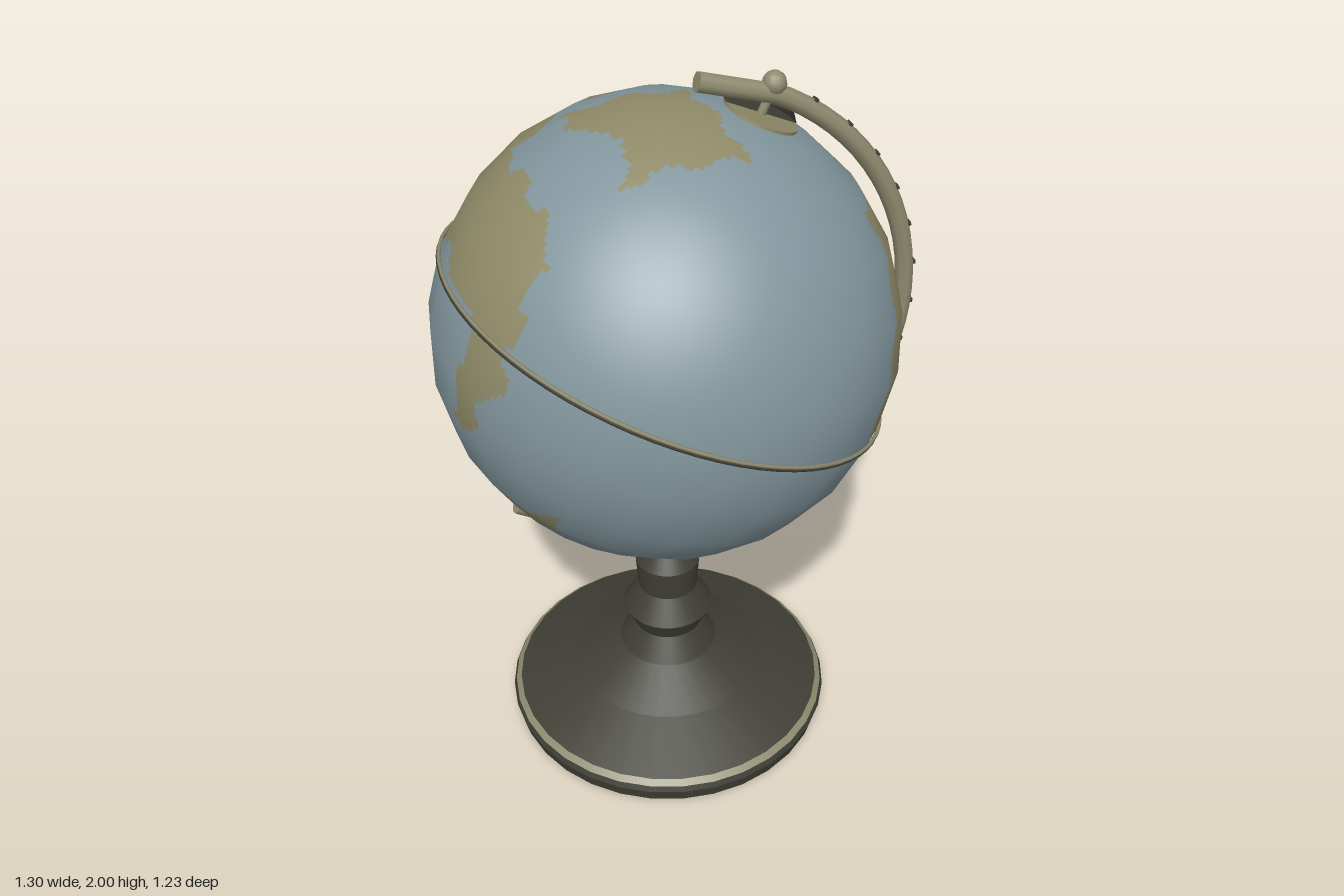
import * as THREE from 'three';

const mat = (name, color, side = THREE.FrontSide) => {
  const m = new THREE.MeshStandardMaterial({ color, side });
  m.name = name;
  return m;
};
const TILT = THREE.MathUtils.degToRad(23.6);
const CENTRE = new THREE.Vector3(-0.05, 1.315, 0);
const R = 0.61;

// A plane facing (azimuth, elevation) with rough land outlines in hundredths
function landPlane(azimuth, elevation, ...lands) {
  const a = THREE.MathUtils.degToRad(azimuth), e = THREE.MathUtils.degToRad(elevation);
  const dir = new THREE.Vector3(Math.sin(a) * Math.cos(e), Math.sin(e), Math.cos(a) * Math.cos(e));
  const right = new THREE.Vector3(Math.cos(a), 0, -Math.sin(a));
  return { dir, right, up: dir.clone().cross(right), lands };
}
const PLANES = [
  landPlane(0, 0,
    [-35, 50, -57, -8, -66, 0, -60, 49],
    [-37, -26, -40, -40, -52, -28],
    [58, 24, 41, -18, 56, -27, 66, 0]),
  landPlane(90, 0,
    [-17, 36, 20, 28, 13, 50, 31, 50, 47, 22, 46, -19, 34, -17, 31, -38, -22, -39, -26, -23, -41, -19, -34, 12]),
  landPlane(0, 90,
    [-66, 30, -33, 47, -16, 40, -22, 17, -36, 13, -34, -30, -66, -30],
    [-16, 39, 1, 38, -5, 23, -13, 24],
    [-24, 14, 8, 11, 14, -22, -18, -23, -11, -9, -20, -1],
    [32, 45, 48, 44, 62, 0, 53, -32, 47, 8]),
  landPlane(215, 25,
    [0, 58, 29, 60, 62, 19, 41, 11, -1, -10, 10, 11, -6, 18],
    [-22, -16, 4, -16, 13, -40, 0, -51, -23, -46]),
  landPlane(145, -30,
    [-64, -1, -39, 50, 1, 54, -27, 15, 23, 0, 8, -11, -57, -14],
    [43, 11, 62, 17, 49, -24]),
];

function inside(poly, x, y) {
  let hit = false;
  for (let i = 0, j = poly.length - 2; i < poly.length; j = i, i += 2) {
    const [xi, yi, xj, yj] = [poly[i], poly[i + 1], poly[j], poly[j + 1]];
    if ((yi > y) !== (yj > y) && x < ((xj - xi) * (y - yi)) / (yj - yi) + xi) hit = !hit;
  }
  return hit;
}

// The plane a point faces most squarely decides; sine waves roughen the coast
function isLand(p) {
  const plane = PLANES.reduce((best, v) => (v.dir.dot(p) > best.dir.dot(p) ? v : best));
  const x = p.dot(plane.right) * 100, y = p.dot(plane.up) * 100;
  const wx = x + 1.5 * Math.sin(y * 0.4), wy = y + 1.5 * Math.sin(x * 0.4 + 1);
  return plane.lands.some((poly) => inside(poly, wx, wy));
}

// Coarse sphere whose facets are divided finely and sorted into sea and land
function globeSurfaces() {
  const W = 24, H = 12, N = 9;
  const Z = new THREE.Vector3(0, 0, 1);
  const corner = (i, j) => new THREE.Vector3()
    .setFromSphericalCoords(R, (j / H) * Math.PI, (i / W) * Math.PI * 2).applyAxisAngle(Z, -TILT);
  const point = (i, j) => {
    const ci = Math.min(Math.floor(i / N), W - 1), cj = Math.min(Math.floor(j / N), H - 1);
    const s = i / N - ci, t = j / N - cj;
    return corner(ci, cj).lerp(corner(ci + 1, cj), s)
      .lerp(corner(ci, cj + 1).lerp(corner(ci + 1, cj + 1), s), t);
  };
  const sets = { sea: [], land: [] };
  for (let j = 0; j < H * N; j++) {
    for (let i = 0; i < W * N; i++) {
      const a = point(i, j), b = point(i, j + 1), c = point(i + 1, j + 1), d = point(i + 1, j);
      const mid = a.clone().add(c).multiplyScalar(0.5);
      sets[isLand(mid) ? 'land' : 'sea'].push(a, b, c, a, c, d);
    }
  }
  return Object.entries(sets).map(([name, pts]) => {
    const geo = new THREE.BufferGeometry().setFromPoints(pts);
    geo.setAttribute('normal', new THREE.Float32BufferAttribute(
      pts.flatMap((p) => p.clone().normalize().toArray()), 3));
    return [name, geo];
  });
}

export function createModel() {
  const sea = mat('sea blue', 0x82969d);
  const land = mat('land tan', 0x8f8a68);
  const brass = mat('brass', 0x8f8b70);
  const dark = mat('dark wood', 0x403f36, THREE.DoubleSide);
  const model = new THREE.Group();
  model.name = 'deskGlobe';
  const add = (parent, name, geo, material, x = 0, y = 0, z = 0) => {
    const mesh = new THREE.Mesh(geo, material);
    mesh.name = name;
    mesh.position.set(x, y, z);
    parent.add(mesh);
    return mesh;
  };
  const rod = (name, a, b) => {
    const A = new THREE.Vector3(...a), B = new THREE.Vector3(...b);
    const m = add(model, name, new THREE.CylinderGeometry(0.026, 0.026, A.distanceTo(B), 8), brass);
    m.position.copy(A).lerp(B, 0.5);
    m.quaternion.setFromUnitVectors(new THREE.Vector3(0, 1, 0), B.sub(A).normalize());
  };

  // Turned base, one ring per profile step so the edges stay sharp
  const profile = [[0, 0], [0.465, 0], [0.475, 0.04], [0.468, 0.056], [0.452, 0.07], [0.28, 0.14],
    [0.143, 0.212], [0.1, 0.285], [0.13, 0.35], [0.086, 0.425], [0.093, 0.52], [0.065, 0.565], [0, 0.565]];
  const base = new THREE.Group();
  base.name = 'base';
  base.position.x = CENTRE.x;
  model.add(base);
  for (let i = 1; i < profile.length; i++) {
    const pts = [profile[i - 1], profile[i]].map((p) => new THREE.Vector2(...p));
    const trim = i === 4;
    add(base, trim ? 'baseTrim' : 'baseRing', new THREE.LatheGeometry(pts, 32), trim ? brass : dark);
  }

  // Globe
  for (const [name, geo] of globeSurfaces()) {
    add(model, name, geo, name === 'land' ? land : sea, ...CENTRE.toArray());
  }

  // Fittings that follow the tilted axis
  const axis = new THREE.Group();
  axis.name = 'tiltedFittings';
  axis.position.copy(CENTRE);
  axis.rotation.z = -TILT;
  model.add(axis);
  for (const [name, y, m] of [['equatorRing', 0.003, brass], ['equatorLine', -0.004, dark]]) {
    add(axis, name, new THREE.TorusGeometry(0.612, 0.005, 6, 72).rotateX(Math.PI / 2), m, 0, y, 0);
  }
  add(axis, 'poleDisc', new THREE.CylinderGeometry(0.097, 0.097, 0.008, 24), land, 0, 0.606, 0);
  for (const s of [1, -1]) {
    add(axis, 'axlePin', new THREE.CylinderGeometry(0.012, 0.012, 0.1, 8), brass, 0, s * 0.64, 0);
    // half dial behind the pin
    const dial = new THREE.CylinderGeometry(s > 0 ? 0.08 : 0.1, s > 0 ? 0.1 : 0.05, 0.025, 16, 1, false,
      Math.PI / 2, Math.PI);
    add(axis, 'halfDial', dial, dark, 0, s * 0.624, 0);
  }

  // Meridian arm, from the upper pole round the +x side to the lower pole
  const ARC = 0.667, start = Math.PI / 2 - TILT, sweep = Math.PI * 0.98;
  const arc = new THREE.TorusGeometry(ARC, 0.026, 8, 40, sweep).rotateZ(start - sweep);
  add(model, 'meridianArm', arc, brass, ...CENTRE.toArray());
  rod('upperArmEnd', [0.03, 1.975, 0], [0.235, 1.918, 0]);
  rod('lowerArm', [-0.475, 0.812, 0], [-0.04, 0.56, 0]);
  for (const [x, y] of [[0.225, 1.948], [-0.323, 0.686]]) {
    add(model, 'axleKnob', new THREE.SphereGeometry(0.031, 12, 8), brass, x, y, 0);
  }

  // Degree marks along the outside of the arm
  for (let i = 1; i < 18; i++) {
    const a = start - (i / 18) * Math.PI;
    const tick = add(model, 'degreeMark', new THREE.BoxGeometry(0.009, 0.011, 0.018), dark,
      CENTRE.x + Math.cos(a) * (ARC + 0.025), CENTRE.y + Math.sin(a) * (ARC + 0.025), 0);
    tick.rotation.z = a;
  }
  return model;
}
